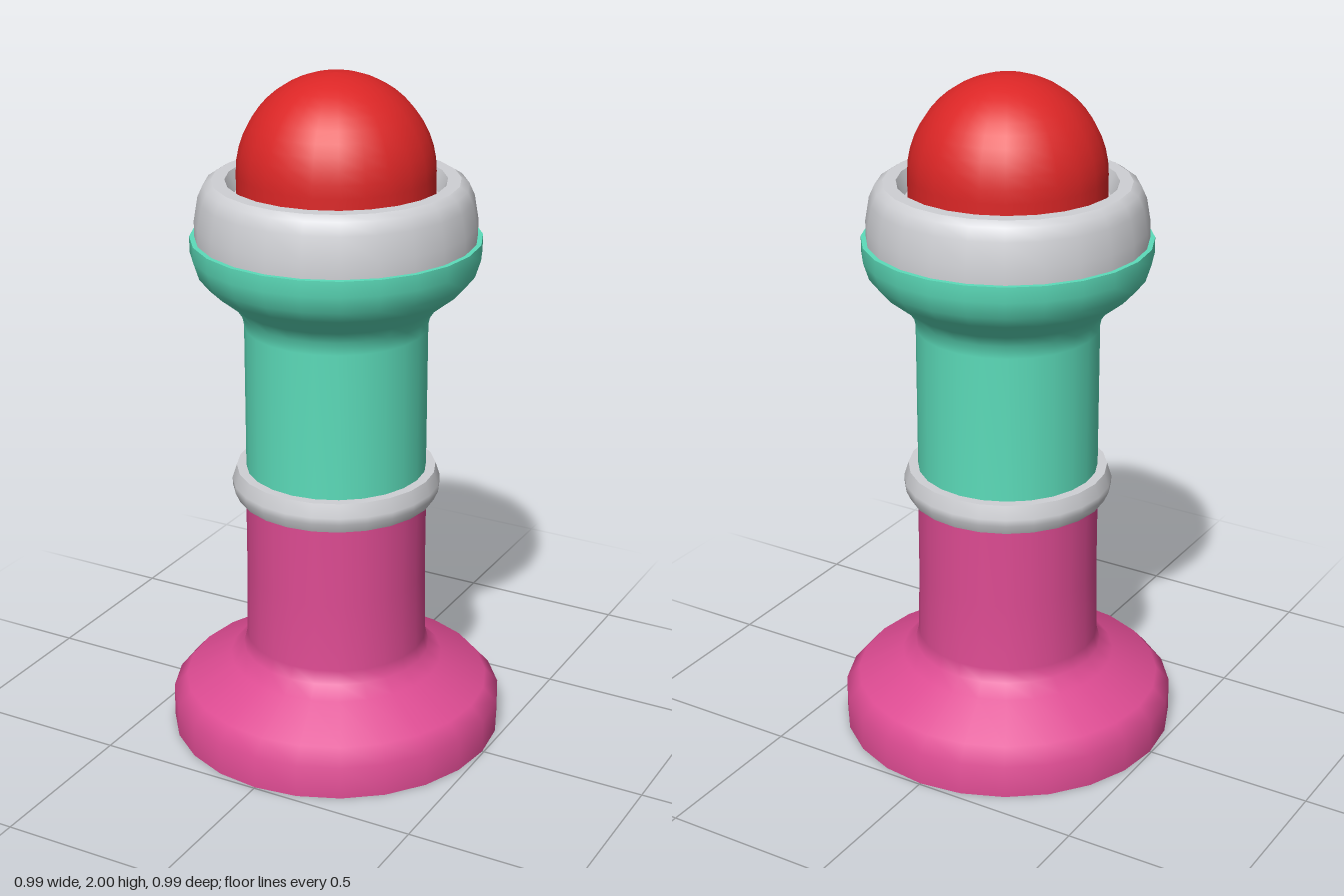
import * as THREE from 'three';
import { mergeGeometries } from 'three/addons/utils/BufferGeometryUtils.js';

const SIDES = 24;

// Turned part: each strip is smooth, with a sharp edge between strips.
function turned(name, material, strips) {
  const parts = strips.map((strip) =>
    new THREE.LatheGeometry(strip.map(([r, y]) => new THREE.Vector2(r, y)), SIDES));
  const mesh = new THREE.Mesh(mergeGeometries(parts), material);
  mesh.name = name;
  return mesh;
}

function paint(name, color) {
  const material = new THREE.MeshStandardMaterial({ color });
  material.name = name;
  return material;
}

export function createModel() {
  const pink = paint('pink', 0xdd4b92);
  const green = paint('mint green', 0x5cdcba);
  const grey = paint('light grey', 0xcfd0d4);
  const red = paint('red', 0xdc2626);
  const group = new THREE.Group();
  group.name = 'domedPost';

  // Flared foot and lower half of the column
  group.add(turned('base', pink, [
    [[0, 0], [0.495, 0]],
    [[0.495, 0], [0.495, 0.1], [0.455, 0.145], [0.32, 0.215], [0.28, 0.25], [0.27, 0.29], [0.266, 0.5], [0.266, 0.79]],
  ]));

  // Ring around the middle
  group.add(turned('collar', grey, [
    [[0.25, 0.747], [0.292, 0.747]],
    [[0.292, 0.747], [0.305, 0.775], [0.305, 0.795], [0.292, 0.835]],
    [[0.292, 0.835], [0.25, 0.835]],
  ]));

  // Upper column opening into a cup
  group.add(turned('upperColumn', green, [
    [[0.264, 0.79], [0.264, 1.27], [0.272, 1.31], [0.295, 1.345], [0.37, 1.405], [0.398, 1.44], [0.414, 1.49], [0.414, 1.535]],
    [[0.414, 1.535], [0.36, 1.535]],
  ]));

  // Rounded rim with a shallow well
  group.add(turned('rim', grey, [
    [[0.4, 1.535], [0.4, 1.58], [0.388, 1.65], [0.372, 1.685], [0.35, 1.699]],
    [[0.35, 1.699], [0.312, 1.699]],
    [[0.312, 1.699], [0.29, 1.65]],
    [[0.29, 1.65], [0.2, 1.65]],
  ]));

  // Round button on a short neck
  const dome = [[0.28, 1.62]];
  for (let i = 0; i <= 12; i++) {
    const a = (i / 12) * Math.PI / 2;
    dome.push([0.28 * Math.cos(a), 1.72 + 0.28 * Math.sin(a)]);
  }
  group.add(turned('dome', red, [dome]));

  return group;
}
